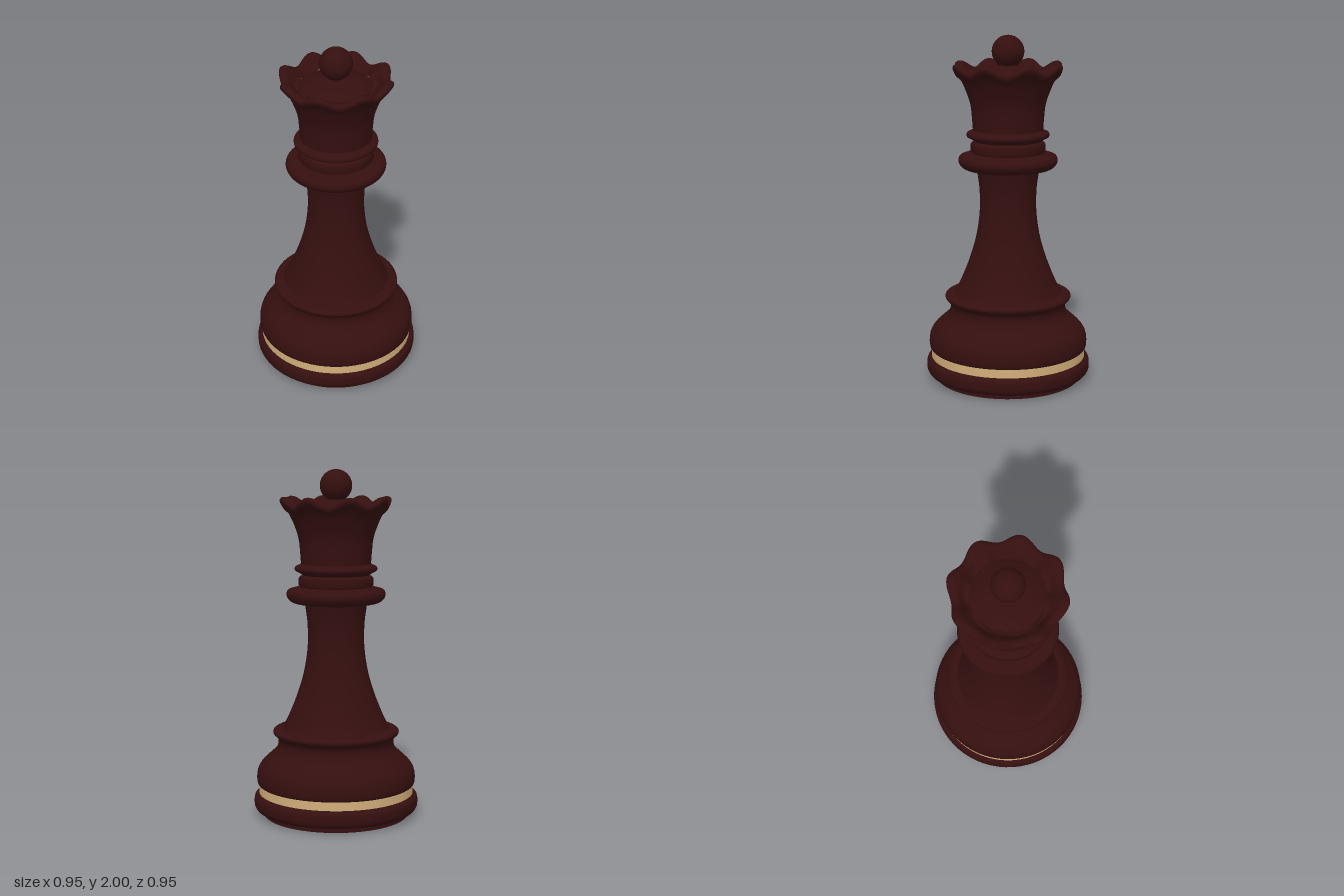
import * as THREE from 'three';
import { mergeVertices } from 'three/addons/utils/BufferGeometryUtils.js';

const SEGMENTS = 64;

// Smooth profile through a few [radius, height] points
function profile(points, divisions) {
  const curve = new THREE.SplineCurve(points.map(([r, y]) => new THREE.Vector2(r, y)));
  return curve.getPoints(divisions).map((p) => new THREE.Vector2(Math.max(p.x, 0), p.y));
}

export function createModel() {
  const group = new THREE.Group();
  const wood = new THREE.MeshStandardMaterial({ color: 0x350f0f });
  wood.name = 'dark red wood';
  const gold = new THREE.MeshStandardMaterial({ color: 0xd2ae7a });
  gold.name = 'pale gold';

  function add(name, geometry, material = wood) {
    const mesh = new THREE.Mesh(geometry, material);
    mesh.name = name;
    group.add(mesh);
    return mesh;
  }
  const turned = (name, points, smooth = 0, material = wood) =>
    add(name, new THREE.LatheGeometry(
      smooth ? profile(points, smooth) : points.map(([r, y]) => new THREE.Vector2(r, y)), SEGMENTS), material);

  // Foot and base
  turned('underside', [[0, 0], [0.42, 0]]);
  turned('foot', [[0.42, 0], [0.42, 0.03]]);
  turned('baseRing', [[0.42, 0.028], [0.455, 0.033], [0.474, 0.055], [0.477, 0.085], [0.472, 0.115], [0.45, 0.133]], 20);
  turned('goldBand', [[0.449, 0.13], [0.449, 0.183]], 0, gold);
  turned('baseDome', [[0.445, 0.18], [0.457, 0.19], [0.461, 0.225], [0.454, 0.27], [0.43, 0.31], [0.385, 0.352],
    [0.35, 0.385], [0.335, 0.42], [0.337, 0.45], [0.35, 0.467], [0.364, 0.483], [0.362, 0.5], [0.335, 0.512], [0.31, 0.515]], 56);

  // Stem
  turned('stem', [[0.312, 0.513], [0.285, 0.56], [0.25, 0.64], [0.22, 0.72], [0.19, 0.82], [0.171, 0.92],
    [0.162, 1.02], [0.164, 1.12], [0.172, 1.19], [0.18, 1.24]], 30);

  // Collar: wide ring, narrow drum and thin ring
  turned('collarRing', [[0.175, 1.238], [0.235, 1.24], [0.268, 1.256], [0.284, 1.285], [0.276, 1.314], [0.245, 1.325], [0.205, 1.335]], 24);
  turned('collarDrum', [[0.205, 1.333], [0.214, 1.343], [0.214, 1.382], [0.203, 1.394], [0.19, 1.402]]);
  turned('neckRing', [[0.19, 1.4], [0.213, 1.415], [0.234, 1.427], [0.234, 1.447], [0.213, 1.458], [0.2, 1.465]], 18);

  // Crown: turned cup whose rim is pulled into eight rounded points
  let cup = new THREE.LatheGeometry(profile([[0.2, 1.462], [0.205, 1.53], [0.214, 1.61], [0.24, 1.69], [0.272, 1.755],
    [0.303, 1.785], [0.311, 1.81], [0.297, 1.823], [0.27, 1.82], [0.245, 1.795], [0.225, 1.775], [0.2, 1.77]], 44), 96);
  cup.deleteAttribute('uv');
  cup.deleteAttribute('normal');
  const pos = cup.attributes.position;
  for (let i = 0; i < pos.count; i++) {
    const x = pos.getX(i), y = pos.getY(i), z = pos.getZ(i);
    const lobe = -Math.cos(8 * Math.atan2(x, z));
    const w = THREE.MathUtils.smoothstep(y, 1.62, 1.82);
    const k = 1 + 0.045 * w * lobe * THREE.MathUtils.smoothstep(Math.hypot(x, z), 0.2, 0.27);
    pos.setXYZ(i, x * k, y + 0.022 * w * lobe, z * k);
  }
  cup = mergeVertices(cup, 1e-5);
  cup.computeVertexNormals();
  add('crown', cup);

  // Domed cap inside the crown, with the ball on top
  turned('crownCap', [[0.205, 1.755], [0.205, 1.78]]);
  turned('crownDome', [[0.205, 1.78], [0.16, 1.803], [0.1, 1.822], [0.05, 1.83], [0, 1.832]], 12);
  add('finialBall', new THREE.SphereGeometry(0.092, 32, 20)).position.y = 1.908;

  return group;
}
